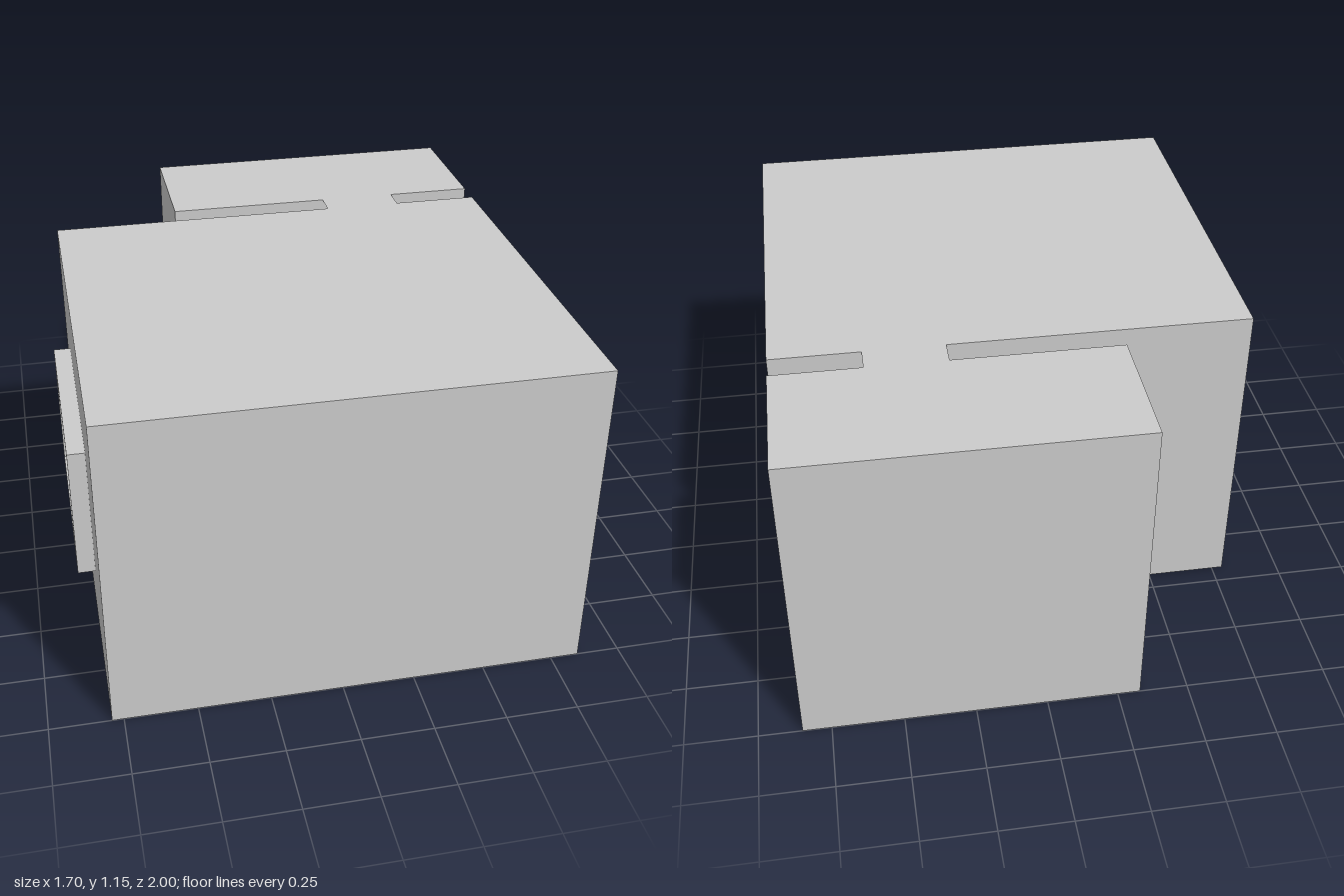
import * as THREE from 'three';

const H = 1.15;       // wall height
const DOOR_H = 0.83;  // door and passage height

export function createModel() {
  const model = new THREE.Group();
  const mat = new THREE.MeshStandardMaterial({ color: 0xcccccc, side: THREE.DoubleSide, flatShading: true });

  const add = (parent, name, geometry) => {
    const mesh = new THREE.Mesh(geometry, mat);
    mesh.name = name;
    parent.add(mesh);
    return mesh;
  };
  const polygon = (pts) => new THREE.Shape(pts.map(([x, y]) => new THREE.Vector2(x, y)));
  const rect = (a, b, y0, y1) => polygon([[a, y0], [b, y0], [b, y1], [a, y1]]);

  // Thin wall outline from a to b, with an optional door notch [d0, d1]
  const wallShape = (a, b, door, h = H) => {
    const notch = door ? [[door[0], 0], [door[0], DOOR_H], [door[1], DOOR_H], [door[1], 0]] : [];
    return polygon([[a, 0], ...notch, [b, 0], [b, h], [a, h]]);
  };
  // Wall running along x
  const wallX = (name, z, shape) => {
    add(model, name, new THREE.ShapeGeometry(shape)).position.z = z;
  };
  // Wall running along z: shape coordinates are (z, y)
  const wallZ = (name, x, shape) => {
    const mesh = add(model, name, new THREE.ShapeGeometry(shape));
    mesh.rotation.y = -Math.PI / 2;
    mesh.position.x = x;
  };
  // Horizontal slab: shape coordinates are (x, z)
  const slab = (name, y, shape) => {
    const mesh = add(model, name, new THREE.ShapeGeometry(shape));
    mesh.rotation.x = Math.PI / 2;
    mesh.position.y = y;
  };

  // Main room, back room and passage share one floor plan
  const L = -0.79, R = 0.85, F = 1, M = -0.43;
  const backL = -0.33, backF = -0.52, B = -1;
  const passage = [0.26, 0.54];
  const plan = polygon([
    [L, F], [R, F], [R, M], [passage[1], M], [passage[1], backF], [R, backF],
    [R, B], [backL, B], [backL, backF], [passage[0], backF], [passage[0], M], [L, M],
  ]);
  slab('floor', 0, plan);
  slab('roof', H, plan);

  // Main room walls
  const win = { z0: -0.08, z1: 0.64, y0: 0.35, y1: 0.83 };
  const windowWall = wallShape(M, F);
  windowWall.holes.push(rect(win.z0, win.z1, win.y0, win.y1));
  wallX('mainFrontWall', F, wallShape(L, R));
  wallX('mainBackWall', M, wallShape(L, R, passage));
  wallZ('entranceWall', R, wallShape(M, F, [0.56, 0.84]));
  wallZ('windowWall', L, windowWall);

  // Back room walls
  wallX('backRoomFrontWall', backF, wallShape(backL, R, passage));
  wallX('backRoomBackWall', B, wallShape(backL, R));
  wallZ('backRoomLeftWall', R, wallShape(B, backF));
  wallZ('backRoomRightWall', backL, wallShape(B, backF));

  // Passage between the rooms
  for (const x of passage) wallZ('passageWall', x, wallShape(backF, M, null, DOOR_H));
  slab('passageCeiling', DOOR_H, rect(passage[0], passage[1], backF, M));

  // Window: outer frame, two recessed sashes and their panes
  const windowGroup = new THREE.Group();
  windowGroup.name = 'window';
  windowGroup.rotation.y = -Math.PI / 2;
  windowGroup.position.x = L;
  model.add(windowGroup);

  const frame = (name, z0, z1, y0, y1, width, depth, offset) => {
    const shape = rect(z0, z1, y0, y1);
    shape.holes.push(rect(z0 + width, z1 - width, y0 + width, y1 - width));
    const geometry = new THREE.ExtrudeGeometry(shape, { depth, bevelEnabled: false });
    add(windowGroup, name, geometry).position.z = offset;
  };
  const t = 0.033;
  frame('windowFrame', win.z0, win.z1, win.y0, win.y1, t, 0.06, 0);

  const mid = (win.z0 + win.z1) / 2;
  const y0 = win.y0 + t, y1 = win.y1 - t;
  for (const [z0, z1] of [[win.z0 + t, mid], [mid, win.z1 - t]]) {
    frame('windowSash', z0, z1, y0, y1, 0.027, 0.03, 0.015);
    add(windowGroup, 'windowPane', new THREE.ShapeGeometry(
      rect(z0 + 0.027, z1 - 0.027, y0 + 0.027, y1 - 0.027))).position.z = 0.03;
  }

  return model;
}
